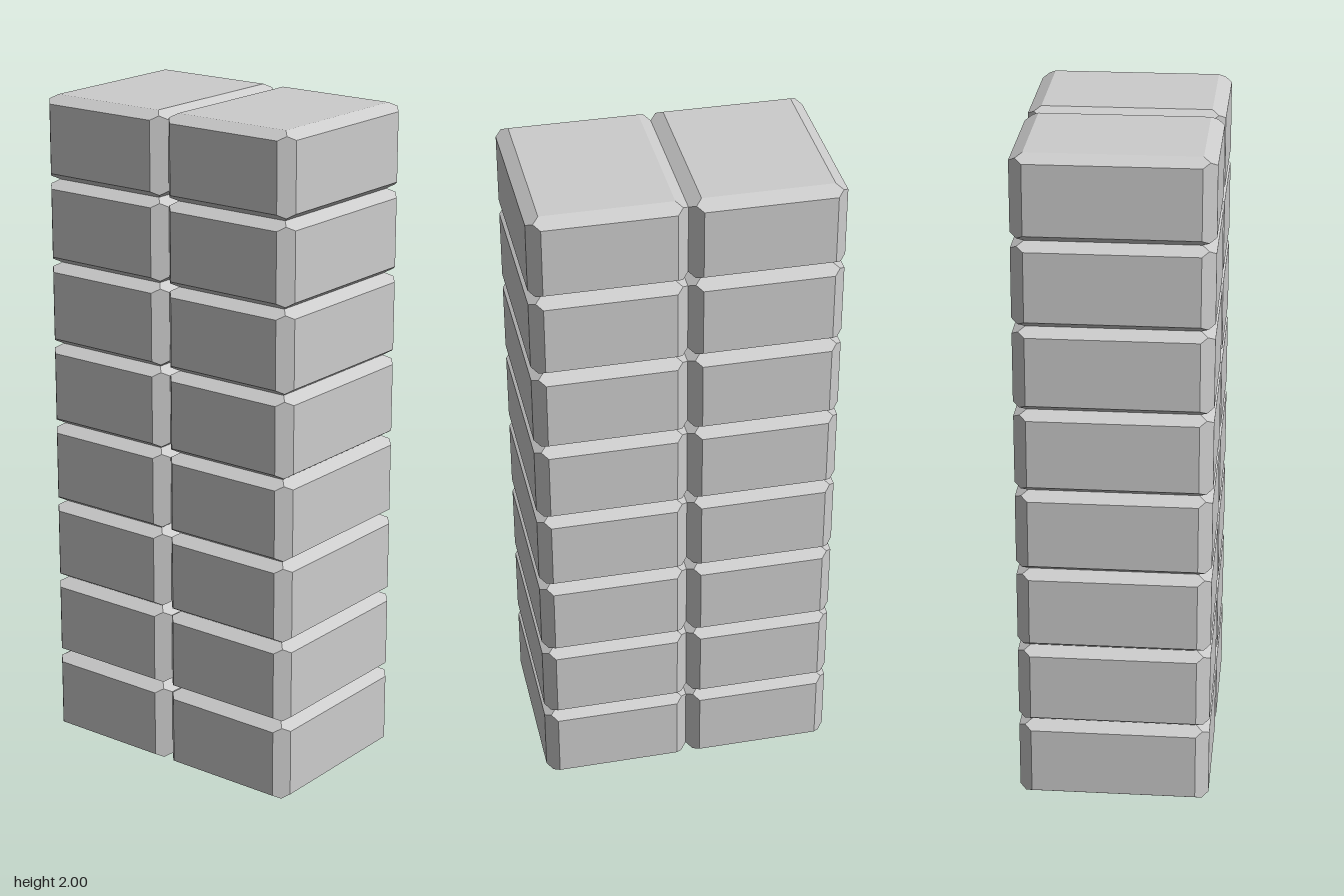
import * as THREE from 'three';
import { ConvexGeometry } from 'three/addons/geometries/ConvexGeometry.js';

const ROWS = 8;
const SIZE = [0.444, 0.25, 0.566]; // one block: width, height, depth
const BEVEL = [0.036, 0.023, 0.039]; // inset of the chamfers on each axis

// Box with all edges chamfered; the three chamfers at a corner meet in one point
function chamferedBlock() {
  const points = [];
  for (const sx of [-1, 1]) for (const sy of [-1, 1]) for (const sz of [-1, 1]) {
    const corner = (...inset) => new THREE.Vector3(
      sx * (SIZE[0] / 2 - BEVEL[0] * inset[0]),
      sy * (SIZE[1] / 2 - BEVEL[1] * inset[1]),
      sz * (SIZE[2] / 2 - BEVEL[2] * inset[2]));
    points.push(corner(0, 1, 1), corner(1, 0, 1), corner(1, 1, 0), corner(0.5, 0.5, 0.5));
  }
  return new ConvexGeometry(points);
}

export function createModel() {
  const model = new THREE.Group();
  model.name = 'blockStack';
  const material = new THREE.MeshStandardMaterial({ color: 0xcccccc, flatShading: true });
  const geometry = chamferedBlock();

  // Two columns of stacked blocks, side by side
  for (const [name, side] of [['leftColumn', 1], ['rightColumn', -1]]) {
    const column = new THREE.Group();
    column.name = name;
    column.position.x = side * SIZE[0] / 2;
    for (let row = 0; row < ROWS; row++) {
      const block = new THREE.Mesh(geometry, material);
      block.name = `block${row + 1}`;
      block.position.y = (row + 0.5) * SIZE[1];
      column.add(block);
    }
    model.add(column);
  }
  return model;
}
